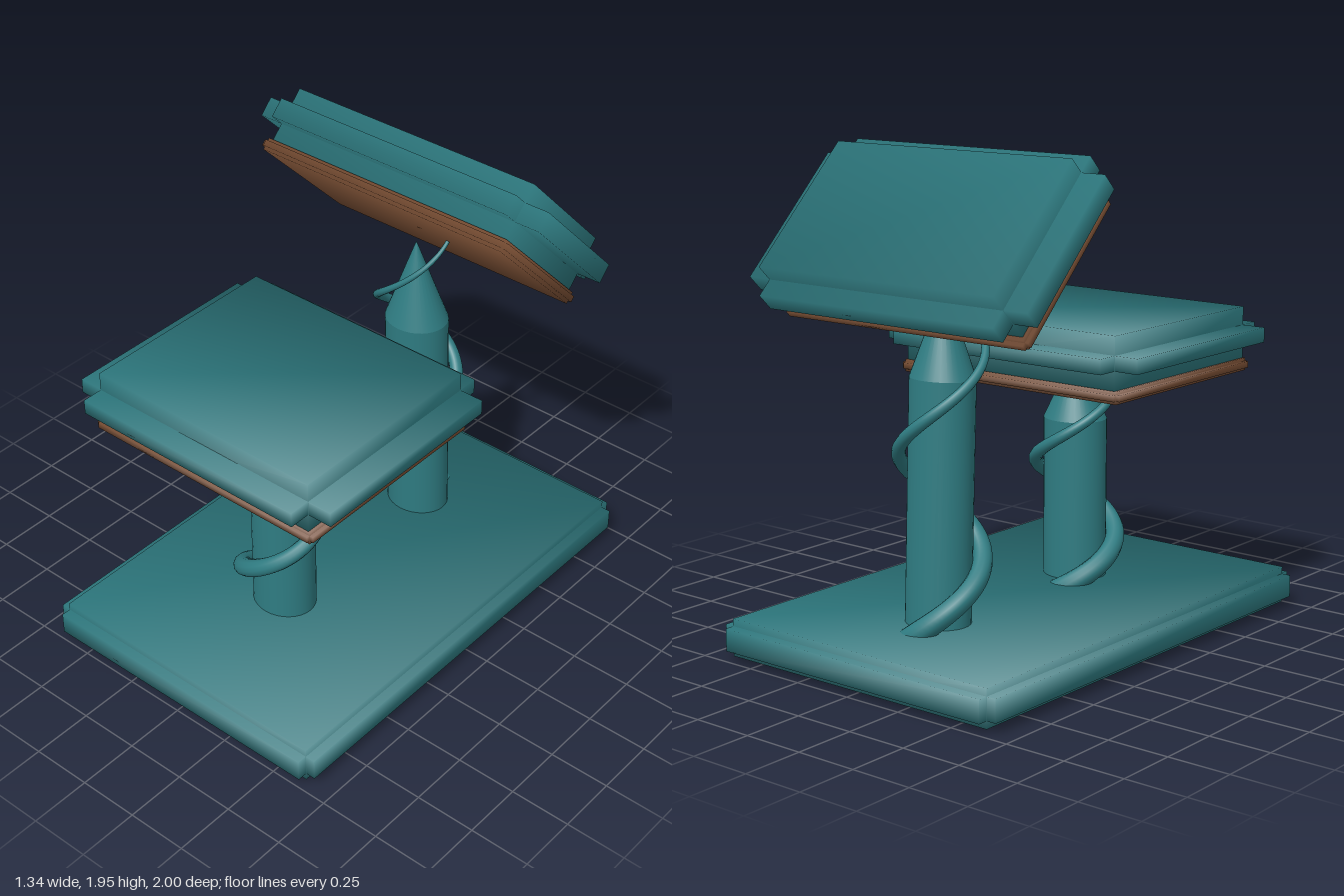
import * as THREE from 'three';

const teal = new THREE.MeshStandardMaterial({ color: 0x2f7c82 });
teal.name = 'teal';
const brown = new THREE.MeshStandardMaterial({ color: 0x7a4f34 });
brown.name = 'brown';

function addMesh(parent, name, geometry, material) {
  const mesh = new THREE.Mesh(geometry, material);
  mesh.name = name;
  parent.add(mesh);
  return mesh;
}

// Box shaded softly, with each corner normal pointing diagonally outwards
function softBox(w, h, d) {
  const g = new THREE.BoxGeometry(w, h, d);
  const p = g.attributes.position, n = g.attributes.normal, k = 1 / Math.sqrt(3);
  for (let i = 0; i < p.count; i++) {
    n.setXYZ(i, Math.sign(p.getX(i)) * k, Math.sign(p.getY(i)) * k, Math.sign(p.getZ(i)) * k);
  }
  return g;
}

// Stepped slab: a core block with a thinner rim sticking out on all four sides
function steppedPanel(name, [w, h, d], [rimW, rimH, rimD], material) {
  const panel = new THREE.Group();
  panel.name = name;
  addMesh(panel, name + 'Core', softBox(w, h, d), material);
  addMesh(panel, name + 'SideRim', softBox(rimW, rimH, d - 0.002), material);
  addMesh(panel, name + 'EndRim', softBox(w - 0.002, rimH, rimD), material);
  return panel;
}

// Helix around the y axis, starting at the back; q counts quarter turns
class Helix extends THREE.Curve {
  constructor(y0, step, q0, q1) {
    super();
    Object.assign(this, { y0, step, q0, q1 });
  }
  getPoint(t, target = new THREE.Vector3()) {
    const q = this.q0 + (this.q1 - this.q0) * t;
    const a = q * Math.PI / 2, r = 0.167 - 0.012 * t;
    return target.set(-Math.sin(a) * r, this.y0 + this.step * q, -Math.cos(a) * r);
  }
}

// Tube that narrows from its foot to its tip
function taperedTube(curve, r0, r1) {
  const rings = 120, sides = 12;
  const g = new THREE.TubeGeometry(curve, rings, 1, sides);
  const p = g.attributes.position, v = new THREE.Vector3();
  for (let i = 0; i < p.count; i++) {
    const t = Math.floor(i / (sides + 1)) / rings;
    const c = curve.getPointAt(t);
    v.fromBufferAttribute(p, i).sub(c).multiplyScalar(r0 + (r1 - r0) * t).add(c);
    p.setXYZ(i, v.x, v.y, v.z);
  }
  return g;
}

// Pointed post with a vine winding up around it
function vinePost(name, shoulder, tip, vineY, vineStep) {
  const group = new THREE.Group();
  group.name = name;
  const r = 0.134, squash = 0.88;
  const shaft = new THREE.CylinderGeometry(r, r, shoulder, 32).scale(1, 1, squash);
  addMesh(group, name + 'Shaft', shaft.translate(0, shoulder / 2, 0), teal);
  const point = new THREE.ConeGeometry(r, tip - shoulder, 32, 1, true).scale(1, 1, squash);
  addMesh(group, name + 'Point', point.translate(0, (shoulder + tip) / 2, 0), teal);
  const vine = taperedTube(new Helix(vineY, vineStep, -0.2, 7), 0.048, 0.008);
  addMesh(group, name + 'Vine', vine, teal);
  return group;
}

// Thick teal panel with a brown board under it
function boardedPanel(name, panel, panelRim, board, boardRim, boardY) {
  const group = new THREE.Group();
  group.name = name;
  group.add(steppedPanel(name + 'Panel', panel, panelRim, teal));
  const under = steppedPanel(name + 'Board', board, boardRim, brown);
  under.position.y = boardY;
  group.add(under);
  return group;
}

export function createModel() {
  const model = new THREE.Group();
  model.name = 'vineStand';

  // Base slab
  const base = steppedPanel('base', [1.26, 0.15, 1.92], [1.34, 0.09, 2.0], teal);
  base.position.y = 0.083;
  model.add(base);

  // Flat front panel on its post
  const frontPost = vinePost('frontPost', 0.81, 1.09, 0.1, 0.1575);
  frontPost.position.z = 0.365;
  model.add(frontPost);
  const seat = boardedPanel('seat', [1.03, 0.21, 0.87], [1.235, 0.06, 1.045],
    [1.05, 0.05, 0.88], [1.08, 0.025, 0.905], -0.13);
  seat.position.set(0, 1.155, 0.365);
  model.add(seat);

  // Tilted rear panel above its slightly leaning post
  const rearPost = vinePost('rearPost', 1.1, 1.46, 0.12, 0.2);
  rearPost.position.z = -0.495;
  rearPost.rotation.x = 0.038;
  model.add(rearPost);
  const back = boardedPanel('back', [1.13, 0.23, 0.62], [1.34, 0.08, 0.775],
    [1.15, 0.05, 0.65], [1.18, 0.025, 0.68], -0.137);
  back.position.set(0, 1.645, -0.54);
  back.rotation.x = -Math.PI / 4;
  model.add(back);

  return model;
}
